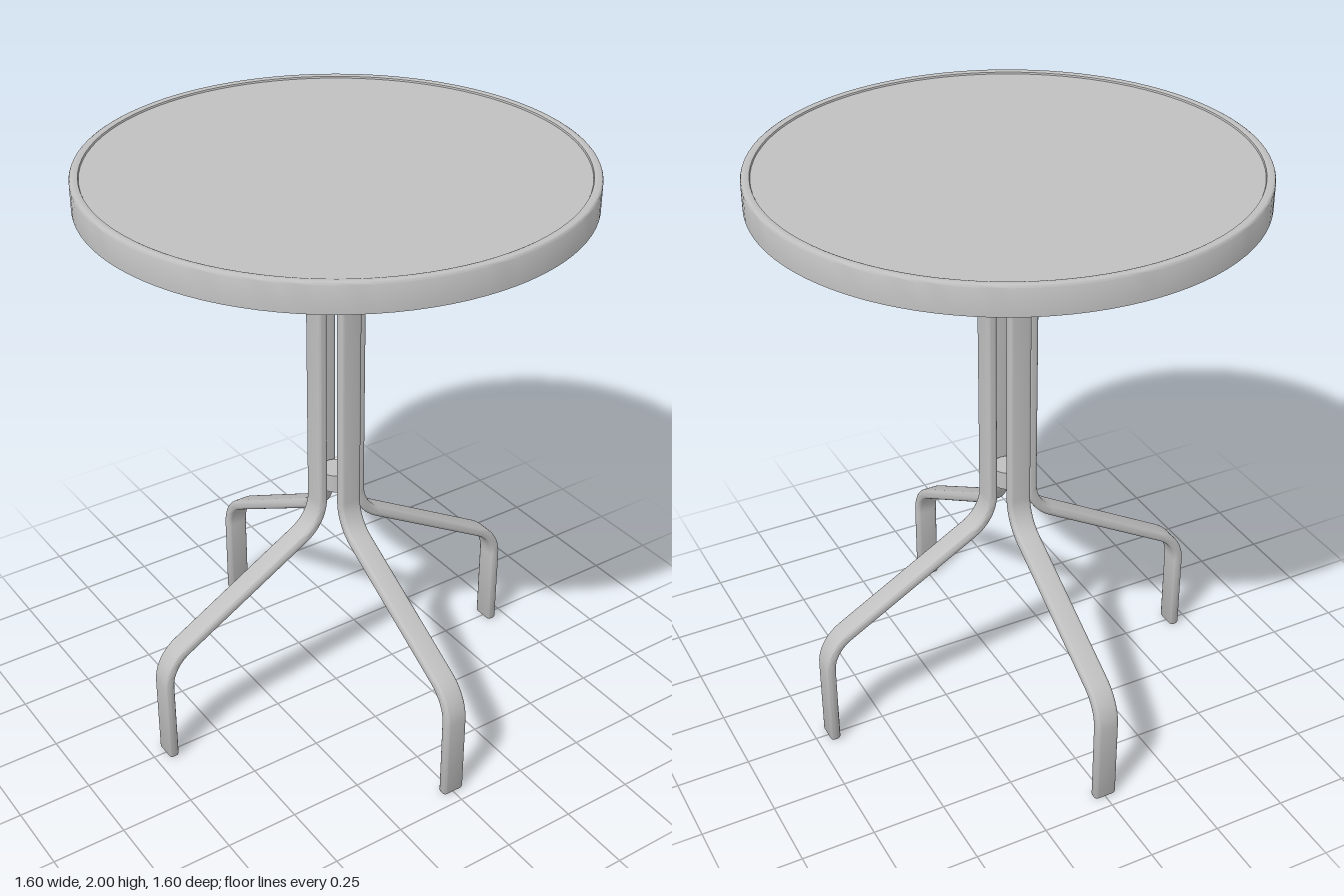
import * as THREE from 'three';
import { toCreasedNormals } from 'three/addons/utils/BufferGeometryUtils.js';

const V = (x, y) => new THREE.Vector2(x, y);

// Polyline with circular fillets; corners are [x, y, radius]
function filletPath(corners, steps = 10) {
  const out = [];
  corners.forEach(([x, y, r], i) => {
    const p = V(x, y);
    if (!r) { out.push(p); return; }
    const a = V(corners[i - 1][0], corners[i - 1][1]).sub(p).normalize();
    const b = V(corners[i + 1][0], corners[i + 1][1]).sub(p).normalize();
    const half = Math.acos(a.dot(b)) / 2;
    const centre = p.clone().addScaledVector(a.clone().add(b).normalize(), r / Math.sin(half));
    const start = p.clone().addScaledVector(a, r / Math.tan(half)).sub(centre);
    const turn = (Math.PI - 2 * half) * Math.sign(b.cross(a));
    for (let k = 0; k <= steps; k++) {
      out.push(start.clone().rotateAround(V(0, 0), turn * k / steps).add(centre));
    }
  });
  return out;
}

// Rounded rectangle section: n is across the bend, b is along z
function section(halfN, halfB, r, inset) {
  const pts = [];
  const signs = [[1, 1], [-1, 1], [-1, -1], [1, -1]];
  signs.forEach(([sn, sb], q) => {
    for (let k = 0; k <= 4; k++) {
      const t = (q + k / 4) * Math.PI / 2;
      pts.push([sn * (halfN - r) + (r - inset) * Math.cos(t), sb * (halfB - r) + (r - inset) * Math.sin(t)]);
    }
  });
  return pts;
}

// Sweep the flat tube section along a path in the xy plane
function sweep(path) {
  const pos = [], index = [];
  const last = path.length - 1;
  const m = 20;
  path.forEach((p, i) => {
    const t = path[Math.min(i + 1, last)].clone().sub(path[Math.max(i - 1, 0)]).normalize();
    const inset = i === 0 ? 0.008 : i === 1 ? 0.002 : 0;
    section(0.018, 0.04, 0.013, inset).forEach(([n, b]) => pos.push(p.x - t.y * n, p.y + t.x * n, b));
  });
  for (let i = 0; i < last; i++) {
    for (let j = 0; j < m; j++) {
      const a = i * m + j, b = i * m + (j + 1) % m;
      index.push(a, b, b + m, a, b + m, a + m);
    }
  }
  // End caps
  [0, last].forEach((i) => {
    const c = pos.length / 3;
    pos.push(path[i].x, path[i].y, 0);
    for (let j = 0; j < m; j++) {
      const a = i * m + j, b = i * m + (j + 1) % m;
      index.push(c, i ? a : b, i ? b : a);
    }
  });
  const g = new THREE.BufferGeometry();
  g.setAttribute('position', new THREE.Float32BufferAttribute(pos, 3));
  g.setIndex(index);
  return toCreasedNormals(g, 0.7);
}

export function createModel() {
  const metal = new THREE.MeshStandardMaterial({ color: 0xc0c0c0 });
  metal.name = 'light grey metal';
  const model = new THREE.Group();
  model.name = 'roundTable';
  const add = (name, geometry) => {
    const mesh = new THREE.Mesh(geometry, metal);
    mesh.name = name;
    model.add(mesh);
    return mesh;
  };

  // Table top panel
  add('topPanel', new THREE.CylinderGeometry(0.778, 0.778, 0.027, 96)).position.y = 1.979;

  // Rim band with a rounded lip over the panel edge
  const rim = [[0.788, 1.905], [0.8, 1.905], [0.8, 1.992], [0.798, 1.997], [0.793, 2], [0.778, 2],
    [0.773, 1.998], [0.77, 1.99], [0.77, 1.965], [0.788, 1.965], [0.788, 1.905]];
  add('rim', toCreasedNormals(new THREE.LatheGeometry(rim.map(([x, y]) => V(x, y)), 96), 0.7));

  // Retaining tabs inside the rim
  for (let k = 0; k < 8; k++) {
    const a = (k + 0.5) * Math.PI / 4;
    const tab = add('rimTab', new THREE.BoxGeometry(0.022, 0.045, 0.04));
    tab.position.set(0.779 * Math.cos(a), 1.945, 0.779 * Math.sin(a));
    tab.rotation.y = -a;
  }

  // Four bent legs, each running from foot to supporting arm
  const path = filletPath([[0.69, 0, 0], [0.69, 0.385, 0.147], [0.075, 0.74, 0.15],
    [0.075, 1.945, 0.14], [0.77, 1.945, 0]]);
  path.splice(1, 0, V(0.69, 0.004), V(0.69, 0.009));
  const legGeometry = sweep(path);
  for (let k = 0; k < 4; k++) add('leg', legGeometry).rotation.y = k * Math.PI / 2;

  // Spacers joining the uprights
  [0.88, 1.77].forEach((y) => {
    add('spacer', new THREE.CylinderGeometry(0.053, 0.053, 0.065, 32)).position.y = y;
    for (let k = 0; k < 2; k++) {
      const bar = add('spacerBar', new THREE.BoxGeometry(0.12, 0.05, 0.03));
      bar.position.y = y;
      bar.rotation.y = k * Math.PI / 2;
    }
  });
  return model;
}
